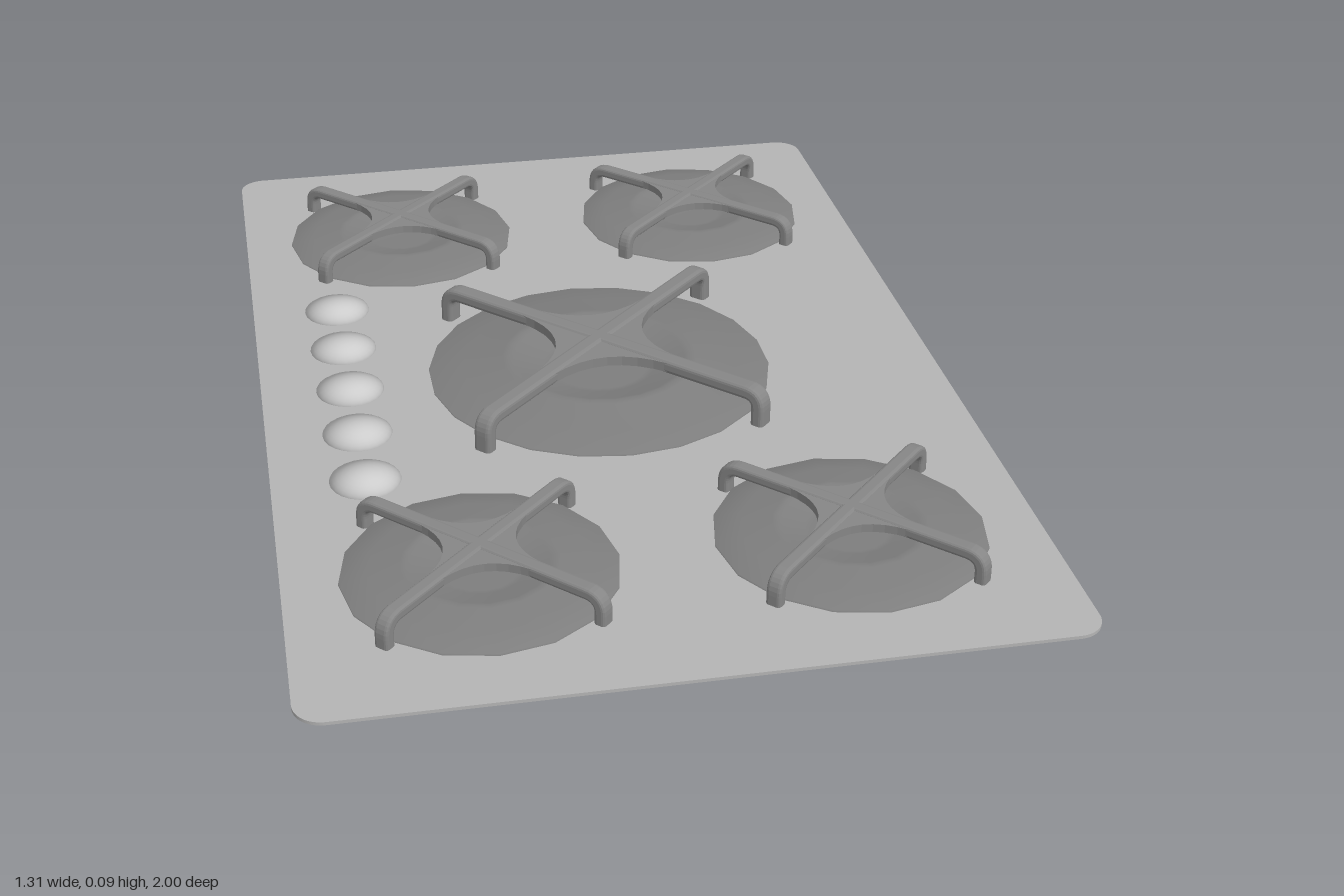
import * as THREE from 'three';

const paint = (color) => new THREE.MeshStandardMaterial({ color, side: THREE.DoubleSide });
const plateGrey = paint(0xb4b4b4);
const lightGrey = paint(0xcccccc);
const dishGrey = paint(0x7e7e7e);
const ironGrey = paint(0x868686);

function add(parent, geometry, material, name) {
  const mesh = new THREE.Mesh(geometry, material);
  mesh.name = name;
  parent.add(mesh);
  return mesh;
}

// Thin sheet with rounded corners
function plateGeometry(w, d, r, y0, y1) {
  const x = w / 2, z = d / 2, s = new THREE.Shape();
  s.absarc(x - r, z - r, r, 0, Math.PI / 2);
  s.absarc(-x + r, z - r, r, Math.PI / 2, Math.PI);
  s.absarc(-x + r, -z + r, r, Math.PI, Math.PI * 1.5);
  s.absarc(x - r, -z + r, r, Math.PI * 1.5, Math.PI * 2);
  const g = new THREE.ExtrudeGeometry(s, { depth: y1 - y0, bevelEnabled: false, curveSegments: 8 });
  return g.rotateX(-Math.PI / 2).translate(0, y0, 0);
}

// Faceted burner dish: raised ridge around a shallow crater
function dishGeometry(r, ridge, segments) {
  const profile = [
    [0, 0.021], [0.28, 0.021], [0.33, 0.024], [0.5, ridge - 0.003], [0.53, ridge],
    [0.57, ridge - 0.001], [0.8, 0.028], [1, 0.019], [1, 0.009],
  ].map(([k, y]) => new THREE.Vector2(k * r, y)).reverse();
  return new THREE.LatheGeometry(profile, segments);
}

// Four-pointed web that blends the arms together
function webGeometry(size, halfWidth, height) {
  const s = new THREE.Shape();
  const inner = halfWidth * 1.5;
  for (let i = 0; i < 4; i++) {
    const a = i * Math.PI / 2;
    const at = (u, v) => [u * Math.cos(a) - v * Math.sin(a), u * Math.sin(a) + v * Math.cos(a)];
    if (i === 0) s.moveTo(...at(size, -halfWidth * 0.9));
    s.lineTo(...at(size, halfWidth * 0.9));
    s.quadraticCurveTo(...at(inner, inner), ...at(halfWidth * 0.9, size));
  }
  const g = new THREE.ExtrudeGeometry(s, { depth: height, bevelEnabled: false, curveSegments: 8 });
  return g.rotateX(-Math.PI / 2).rotateY(Math.PI / 4);
}

// Flat-sided bar with rounded shoulders, running from foot to foot
function barGeometry(reach, top, thick, width) {
  const bevel = width * 0.22, bend = 0.035;
  const r = reach - bevel, t = top - bevel, leg = thick - 2 * bevel;
  const s = new THREE.Shape();
  s.moveTo(-r, bevel);
  s.lineTo(-r, t - bend);
  s.quadraticCurveTo(-r, t, -r + bend, t);
  s.lineTo(r - bend, t);
  s.quadraticCurveTo(r, t, r, t - bend);
  s.lineTo(r, bevel);
  s.lineTo(r - leg, bevel);
  s.lineTo(r - leg, t - bend);
  s.quadraticCurveTo(r - leg, t - leg, r - bend, t - leg);
  s.lineTo(-r + bend, t - leg);
  s.quadraticCurveTo(-r + leg, t - leg, -r + leg, t - bend);
  s.lineTo(-r + leg, bevel);
  s.closePath();
  const depth = width - 2 * bevel;
  return new THREE.ExtrudeGeometry(s, {
    depth, bevelSize: bevel, bevelThickness: bevel, bevelSegments: 3, curveSegments: 8,
  }).translate(0, 0, -depth / 2);
}

function createBurner(name, x, z, { radius, ridge, segments, reach, top, thick, width }) {
  const burner = new THREE.Group();
  burner.name = name;
  burner.position.set(x, 0, z);
  add(burner, dishGeometry(radius, ridge, segments), dishGrey, 'burnerDish');

  // Light sealing ring that shows on the underside
  const seal = new THREE.TorusGeometry(radius * 0.97, 0.005, 6, segments * 2);
  add(burner, seal.rotateX(Math.PI / 2).translate(0, 0.009, 0), lightGrey, 'sealRing');

  const grate = new THREE.Group();
  grate.name = 'potSupport';
  burner.add(grate);
  for (const angle of [Math.PI / 4, -Math.PI / 4]) {
    add(grate, barGeometry(reach, top, thick, width).rotateY(angle), ironGrey, 'supportBar');
  }
  const web = add(grate, webGeometry(reach * 0.46, width / 2, thick * 0.7), ironGrey, 'supportWeb');
  web.position.y = top - thick * 0.85;
  return burner;
}

// Flattened ball that keeps the soft shading of a round one
function knobGeometry(radius, halfHeight) {
  const g = new THREE.SphereGeometry(radius, 24, 14);
  const p = g.attributes.position;
  for (let i = 0; i < p.count; i++) p.setY(i, p.getY(i) * halfHeight / radius);
  return g;
}

export function createModel() {
  const hob = new THREE.Group();
  hob.name = 'gasHob';

  add(hob, plateGeometry(1.31, 2, 0.05, 0.009, 0.015), plateGrey, 'plate');

  // Large middle burner and four small corner burners
  const large = { radius: 0.332, ridge: 0.044, segments: 22, reach: 0.38, top: 0.09, thick: 0.027, width: 0.036 };
  const small = { radius: 0.238, ridge: 0.036, segments: 16, reach: 0.262, top: 0.075, thick: 0.022, width: 0.028 };
  hob.add(createBurner('middleBurner', 0, 0, large));
  for (const sx of [-1, 1]) {
    for (const sz of [-1, 1]) {
      const name = (sz > 0 ? 'front' : 'back') + (sx > 0 ? 'Left' : 'Right') + 'Burner';
      hob.add(createBurner(name, sx * 0.321, sz * 0.646, small));
    }
  }

  // Row of flattened round knobs
  for (let i = -2; i <= 2; i++) {
    const knob = add(hob, knobGeometry(0.065, 0.016), lightGrey, 'knob');
    knob.position.set(-0.486, 0.0165, i * 0.164);
  }
  return hob;
}
